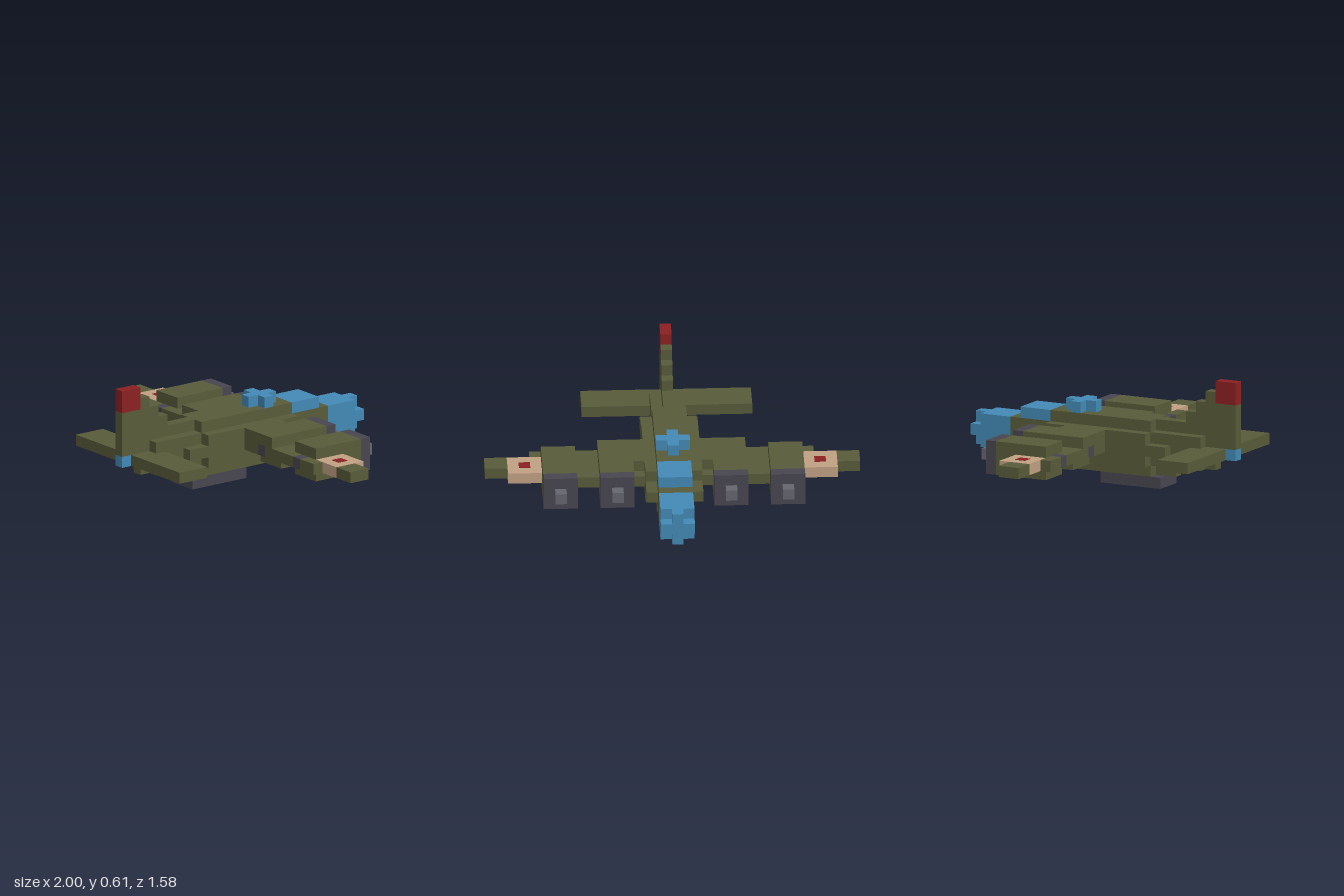
import * as THREE from 'three';

const U = 2 / 33; // one block

const mat = (name, color) => {
  const m = new THREE.MeshStandardMaterial({ color });
  m.name = name;
  return m;
};

export function createModel() {
  const olive = mat('olive', 0x585b39);
  const blue = mat('blue', 0x4389b5);
  const red = mat('red', 0x8b2022);
  const tan = mat('tan', 0xc0a083);
  const dark = mat('dark grey', 0x474650);
  const grey = mat('mid grey', 0x65656e);

  const model = new THREE.Group();
  model.name = 'bomberPlane';

  const group = (name) => {
    const g = new THREE.Group();
    g.name = name;
    model.add(g);
    return g;
  };

  // Box given by its limits in blocks
  const box = (parent, name, m, x0, x1, y0, y1, z0, z1) => {
    const geo = new THREE.BoxGeometry((x1 - x0) * U, (y1 - y0) * U, (z1 - z0) * U);
    const mesh = new THREE.Mesh(geo, m);
    mesh.position.set((x0 + x1) / 2 * U, (y0 + y1) / 2 * U, (z0 + z1) / 2 * U);
    mesh.name = name;
    parent.add(mesh);
  };
  // Box centred on x = 0 with half width w
  const mid = (parent, name, m, w, ...yz) => box(parent, name, m, -w, w, ...yz);

  // Fuselage
  const body = group('fuselage');
  mid(body, 'bodyCore', olive, 1.5, 2, 5, -9, 10);
  mid(body, 'bodySides', olive, 2.5, 2, 5, -5, 5);
  mid(body, 'bodySideRail', olive, 2.5, 3, 4, -7, 7);
  mid(body, 'belly', olive, 1.5, 1, 2, -5, 5);
  mid(body, 'bellyKeel', olive, 0.5, 1, 2, -7, 7);
  mid(body, 'spine', olive, 1.5, 5, 6, -5, 5);
  mid(body, 'bellyPod', dark, 1.5, 0, 1, 0, 6);

  // Glazed nose, cockpit and roof turret
  const glass = group('glazing');
  mid(glass, 'nose', blue, 1.5, 2, 5, -12, -9);
  mid(glass, 'noseTipAcross', blue, 1.5, 3, 4, -13, -12);
  mid(glass, 'noseTipUpright', blue, 0.5, 2, 5, -13, -12);
  mid(glass, 'cockpit', blue, 1.5, 5, 6, -8, -5);
  mid(glass, 'turretAcross', blue, 1.5, 6, 7, -3, -2);
  mid(glass, 'turretAlong', blue, 0.5, 6, 7, -4, -1);

  // Tail with stepped fin
  const tail = group('tail');
  mid(tail, 'tailplane', olive, 7.5, 3, 4, 9, 12);
  mid(tail, 'tailGun', blue, 0.5, 3, 4, 12, 13);
  mid(tail, 'tailKeel', olive, 0.5, 2, 3, 10, 11);
  mid(tail, 'finRoot', olive, 0.5, 4, 5, 10, 13);
  mid(tail, 'rearSpine', olive, 0.5, 5, 6, 5, 13);
  mid(tail, 'finLower', olive, 0.5, 6, 7, 8, 13);
  mid(tail, 'finMiddle', olive, 0.5, 7, 8, 9, 13);
  mid(tail, 'finUpper', olive, 0.5, 8, 9, 10, 11);
  mid(tail, 'rudderTip', red, 0.5, 8, 10, 11, 13);

  // Wings and engines, mirrored
  for (const [side, s] of [['left', 1], ['right', -1]]) {
    const wing = group(side + 'Wing');
    const put = (name, m, a, b, ...yz) =>
      box(wing, name, m, Math.min(a * s, b * s), Math.max(a * s, b * s), ...yz);

    put('wingPanel', olive, 2.5, 11.5, 3, 4, -4, 0);
    for (const [a, b] of [[2.5, 4.5], [5.5, 9.5], [10.5, 12.5]]) put('trailingEdge', olive, a, b, 3, 4, 0, 1);
    put('wingRoot', olive, 2.5, 3.5, 4, 5, -3, 1);
    put('innerWingTop', olive, 3.5, 6.5, 4, 5, 0, 1);
    put('wingBand', tan, 11.5, 14.5, 3, 4, -3, 0);
    put('wingSpot', red, 12.5, 13.5, 2.97, 4.03, -2, -1);
    put('wingTip', olive, 14.5, 16.5, 3, 4, -2, 0);

    for (const c of [5, 10]) {
      put('engineNacelle', olive, c - 1.5, c + 1.5, 2, 5, -5, 0);
      put('engineCowl', dark, c - 1.5, c + 1.5, 2, 5, -6, -5);
      put('propellerHub', grey, c - 0.5, c + 0.5, 3, 4, -7, -6);
      put('exhaust', dark, c - 0.5, c + 0.5, 3, 4, 0, 1);
    }
  }
  return model;
}
